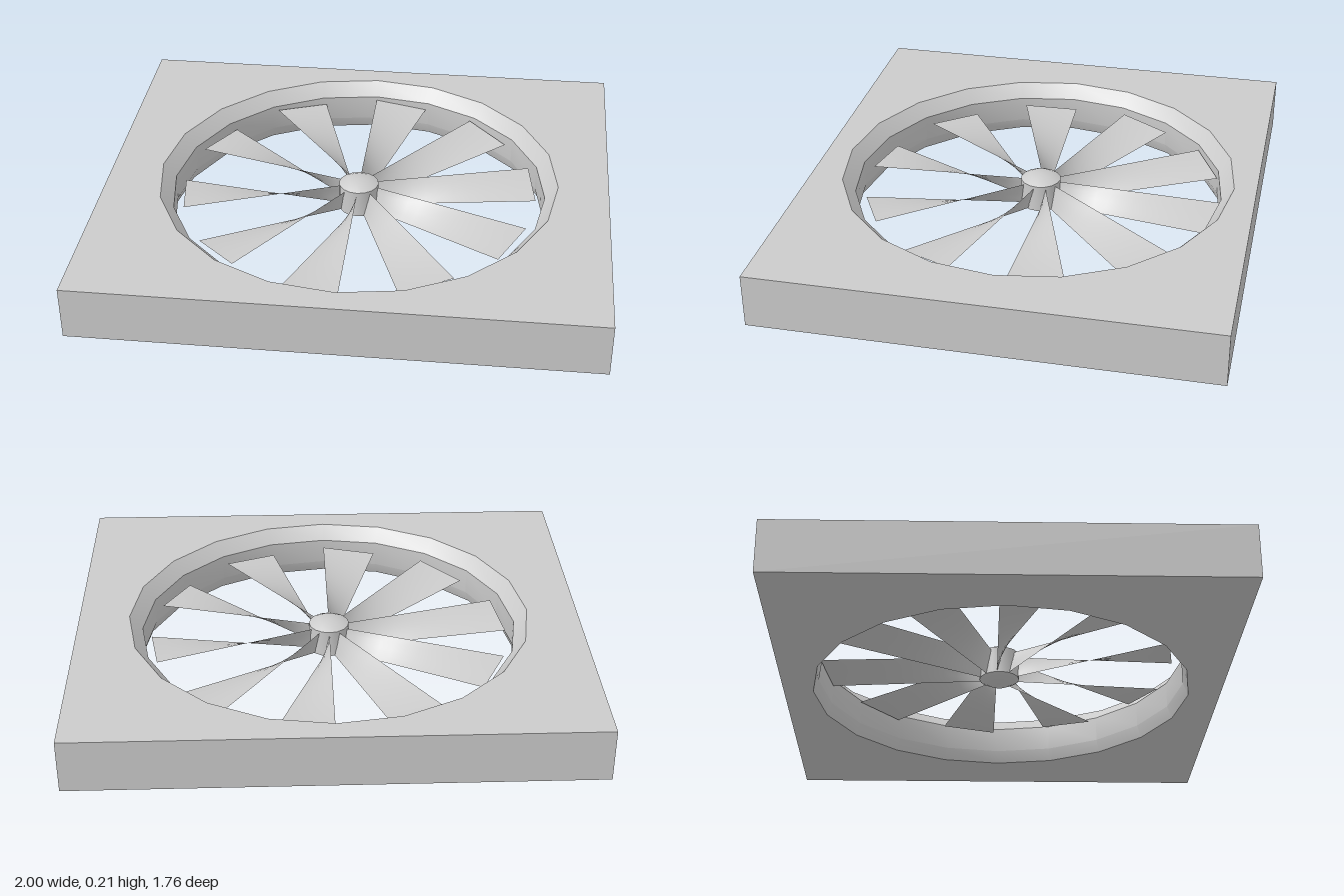
import * as THREE from 'three';
import { toCreasedNormals } from 'three/addons/utils/BufferGeometryUtils.js';

const HEIGHT = 0.21, HALF_DEPTH = 0.88, SIDES = 20, BLADES = 10;
const RIM_Z = -0.005, HUB_Z = -0.013, FAN_Z = -0.024;
const OVAL = 0.983; // the opening is slightly shorter in depth
const rad = THREE.MathUtils.degToRad;

const material = new THREE.MeshStandardMaterial({ color: 0xcccccc });
const thin = new THREE.MeshStandardMaterial({ color: 0xcccccc, side: THREE.DoubleSide });

function addMesh(parent, name, geometry, mat = material) {
  const mesh = new THREE.Mesh(geometry, mat);
  mesh.name = name;
  parent.add(mesh);
  return mesh;
}

function lathe(profile, sides, crease) {
  const points = profile.map(([r, y]) => new THREE.Vector2(r, y));
  return toCreasedNormals(new THREE.LatheGeometry(points, sides), rad(crease));
}

// Rectangular plate with a polygonal opening, lying in the ground plane
function plate(radius, faceUp) {
  const shape = new THREE.Shape([
    new THREE.Vector2(-1, -HALF_DEPTH), new THREE.Vector2(1, -HALF_DEPTH),
    new THREE.Vector2(1, HALF_DEPTH), new THREE.Vector2(-1, HALF_DEPTH),
  ]);
  const hole = [];
  const centre = faceUp ? -RIM_Z : RIM_Z;
  for (let i = 0; i < SIDES; i++) {
    const a = (i / SIDES) * Math.PI * 2;
    hole.push(new THREE.Vector2(radius * Math.cos(a), centre + radius * OVAL * Math.sin(a)));
  }
  shape.holes.push(new THREE.Path(hole));
  return new THREE.ShapeGeometry(shape).rotateX(faceUp ? -Math.PI / 2 : Math.PI / 2);
}

// Twisted sheet: steep at the hub, nearly level at the tip
function bladeGeometry() {
  const geometry = new THREE.PlaneGeometry(1, 1, 4, 12);
  const pos = geometry.attributes.position;
  for (let i = 0; i < pos.count; i++) {
    const across = pos.getX(i) + 0.5, along = pos.getY(i) + 0.5;
    const lerp = THREE.MathUtils.lerp;
    // straight chord between the two radial edges
    const r = lerp(0.06, 0.715, along), a = rad(18);
    const x = r * lerp(1, Math.cos(a), across);
    const z = -r * Math.sin(a) * across;
    const low = lerp(0.06, 0.125, along), high = lerp(0.16, 0.14, along);
    pos.setXYZ(i, x, lerp(low, high, across), z);
  }
  // turn the faces upwards
  const index = geometry.index;
  for (let i = 0; i < index.count; i += 3) {
    const b = index.getX(i + 1);
    index.setX(i + 1, index.getX(i + 2));
    index.setX(i + 2, b);
  }
  geometry.computeVertexNormals();
  return geometry;
}

export function createModel() {
  const model = new THREE.Group();
  model.name = 'ventilationFan';

  // Housing
  const housing = new THREE.Group();
  housing.name = 'housing';
  model.add(housing);
  addMesh(housing, 'topPlate', plate(0.8, true)).position.y = HEIGHT;
  addMesh(housing, 'bottomPlate', plate(0.77, false));
  const walls = new THREE.CylinderGeometry(Math.SQRT2, Math.SQRT2, HEIGHT, 4, 1, true)
    .rotateY(Math.PI / 4).scale(1, 1, HALF_DEPTH).translate(0, HEIGHT / 2, 0);
  addMesh(housing, 'outerWalls', toCreasedNormals(walls, rad(30)));

  // Opening: chamfer, straight duct, small lower flare
  const duct = lathe([[0.8, HEIGHT], [0.75, 0.155], [0.75, 0.05], [0.77, 0]], SIDES, 22);
  duct.scale(1, 1, OVAL).translate(0, 0, RIM_Z);
  addMesh(housing, 'duct', duct);

  // Fan
  const fan = new THREE.Group();
  fan.name = 'fan';
  model.add(fan);
  const hub = lathe([[0, 0.04], [0.043, 0.04], [0.08, 0.06], [0.08, 0.17], [0.043, 0.19], [0, 0.19]], 16, 35);
  addMesh(fan, 'hub', hub).position.z = HUB_Z;
  const blade = bladeGeometry();
  for (let i = 0; i < BLADES; i++) {
    const mesh = addMesh(fan, 'blade', blade, thin);
    mesh.position.z = FAN_Z;
    mesh.rotation.y = (i / BLADES) * Math.PI * 2;
  }
  return model;
}
